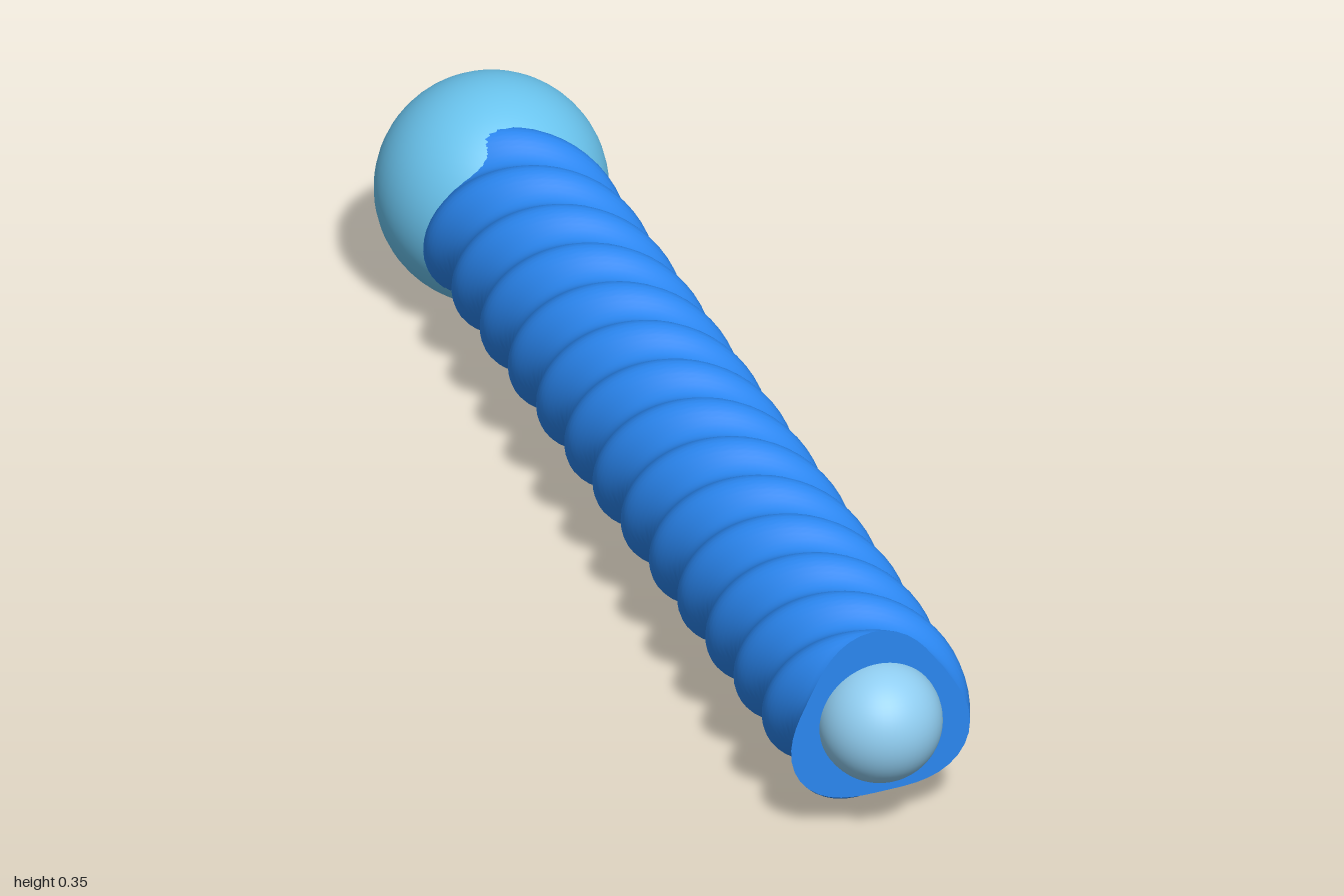
import * as THREE from 'three';

const LOBES = 3, RIB = 0.126, AXIS_Y = 0.174;
const Z_FRONT = 0.905, Z_BACK = -0.8;
const SEGMENTS = 48, RINGS = 220;

// Three-lobed cross-section, turned evenly along z
const twistAt = z => THREE.MathUtils.degToRad(94) + (Z_FRONT - z) * 2 * Math.PI / (LOBES * RIB);
function sectionPoint(j, z) {
  const a = j / SEGMENTS * 2 * Math.PI;
  const r = 0.1345 + 0.0135 * Math.cos(LOBES * a);
  const t = a + twistAt(z);
  return new THREE.Vector2(r * Math.cos(t), r * Math.sin(t));
}

// Closed rings of the twisted section joined into a smooth wall
function twistedWall() {
  const pos = [], index = [];
  for (let i = 0; i <= RINGS; i++) {
    const z = THREE.MathUtils.lerp(Z_FRONT, Z_BACK, i / RINGS);
    for (let j = 0; j < SEGMENTS; j++) {
      const p = sectionPoint(j, z);
      pos.push(p.x, p.y, z);
      if (i === RINGS) continue;
      const k = (j + 1) % SEGMENTS;
      const a = i * SEGMENTS + j, d = i * SEGMENTS + k;
      const b = a + SEGMENTS, c = d + SEGMENTS;
      index.push(a, b, c, a, c, d);
    }
  }
  const g = new THREE.BufferGeometry();
  g.setAttribute('position', new THREE.Float32BufferAttribute(pos, 3));
  g.setIndex(index);
  g.computeVertexNormals();
  return g;
}

// Flat end of the shaft
function endCap(z) {
  const pts = Array.from({ length: SEGMENTS }, (_, j) => sectionPoint(j, z));
  return new THREE.ShapeGeometry(new THREE.Shape(pts)).translate(0, 0, z);
}

export function createModel() {
  const group = new THREE.Group();
  const add = (name, geometry, material, z = 0) => {
    const mesh = new THREE.Mesh(geometry, material);
    mesh.name = name;
    mesh.position.set(0, AXIS_Y, z);
    group.add(mesh);
  };
  const blue = new THREE.MeshStandardMaterial({ color: 0x2a86f0 });
  const sky = new THREE.MeshStandardMaterial({ color: 0x6ac4ee });
  const pale = new THREE.MeshStandardMaterial({ color: 0x90cdf0 });

  add('twistedShaft', twistedWall(), blue);
  add('shaftFrontEnd', endCap(Z_FRONT), blue);
  add('pommelBall', new THREE.SphereGeometry(0.173, 48, 32), sky, -0.827);
  add('tipBall', new THREE.SphereGeometry(0.093, 48, 32), pale, 0.907);
  return group;
}
